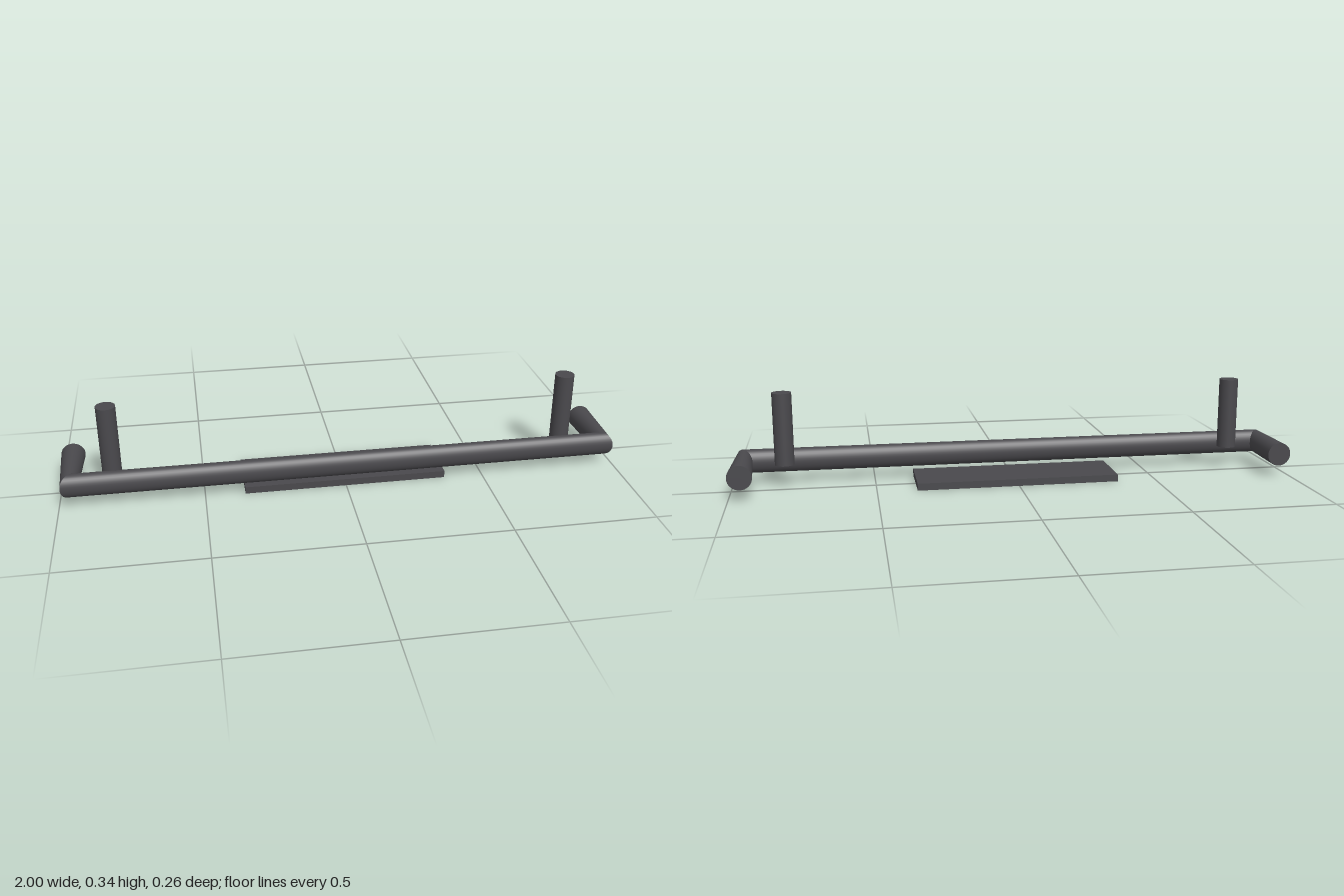
import * as THREE from 'three';

const SIDES = 32, RADIUS = 0.0425, BAR_Y = 0.0825;

// Straight tube section between two mitred rings; each ring has a centre and a horizontal axis
function tubeSection(ringA, ringB) {
  const positions = [], index = [];
  for (const { x, z, ux, uz } of [ringA, ringB]) {
    for (let i = 0; i < SIDES; i++) {
      const a = (i / SIDES) * Math.PI * 2, c = Math.cos(a) * RADIUS;
      positions.push(x + ux * c, BAR_Y + Math.sin(a) * RADIUS, z + uz * c);
    }
  }
  for (let i = 0; i < SIDES; i++) {
    const j = (i + 1) % SIDES;
    index.push(i, j, SIDES + i, j, SIDES + j, SIDES + i);
  }
  const geometry = new THREE.BufferGeometry();
  geometry.setAttribute('position', new THREE.Float32BufferAttribute(positions, 3));
  geometry.setIndex(index);
  geometry.computeVertexNormals();
  return geometry;
}

export function createModel() {
  const model = new THREE.Group();
  model.name = 'bumperBar';
  const darkMetal = new THREE.MeshStandardMaterial({ color: 0x4a494d });
  darkMetal.name = 'dark metal';

  const add = (name, geometry, x = 0, y = 0, z = 0) => {
    const mesh = new THREE.Mesh(geometry, darkMetal);
    mesh.name = name;
    mesh.position.set(x, y, z);
    model.add(mesh);
    return mesh;
  };

  // Bent bar: two arms and a cross bar, pinched at the mitred corners
  const endX = 0.9575, backZ = -0.131, frontZ = 0.101, d = Math.SQRT1_2;
  const rings = [
    { x: endX, z: backZ, ux: 1, uz: 0 },
    { x: endX, z: frontZ, ux: d, uz: d },
    { x: -endX, z: frontZ, ux: -d, uz: d },
    { x: -endX, z: backZ, ux: -1, uz: 0 },
  ];
  ['leftArm', 'crossBar', 'rightArm'].forEach((name, i) => add(name, tubeSection(rings[i], rings[i + 1])));

  // Arm end caps and upright posts on both sides
  const postBottom = BAR_Y, postTop = 0.339;
  for (const [side, s] of [['left', 1], ['right', -1]]) {
    add(side + 'ArmCap', new THREE.CircleGeometry(RADIUS, SIDES), s * endX, BAR_Y, backZ).rotation.y = Math.PI;
    add(side + 'Post', new THREE.CylinderGeometry(0.034, 0.034, postTop - postBottom, SIDES),
      s * 0.815, (postTop + postBottom) / 2, 0.032);
  }

  // Flat plate below the bar
  add('skidPlate', new THREE.BoxGeometry(0.72, 0.025, 0.209), 0, 0.0125, 0.008);

  return model;
}
